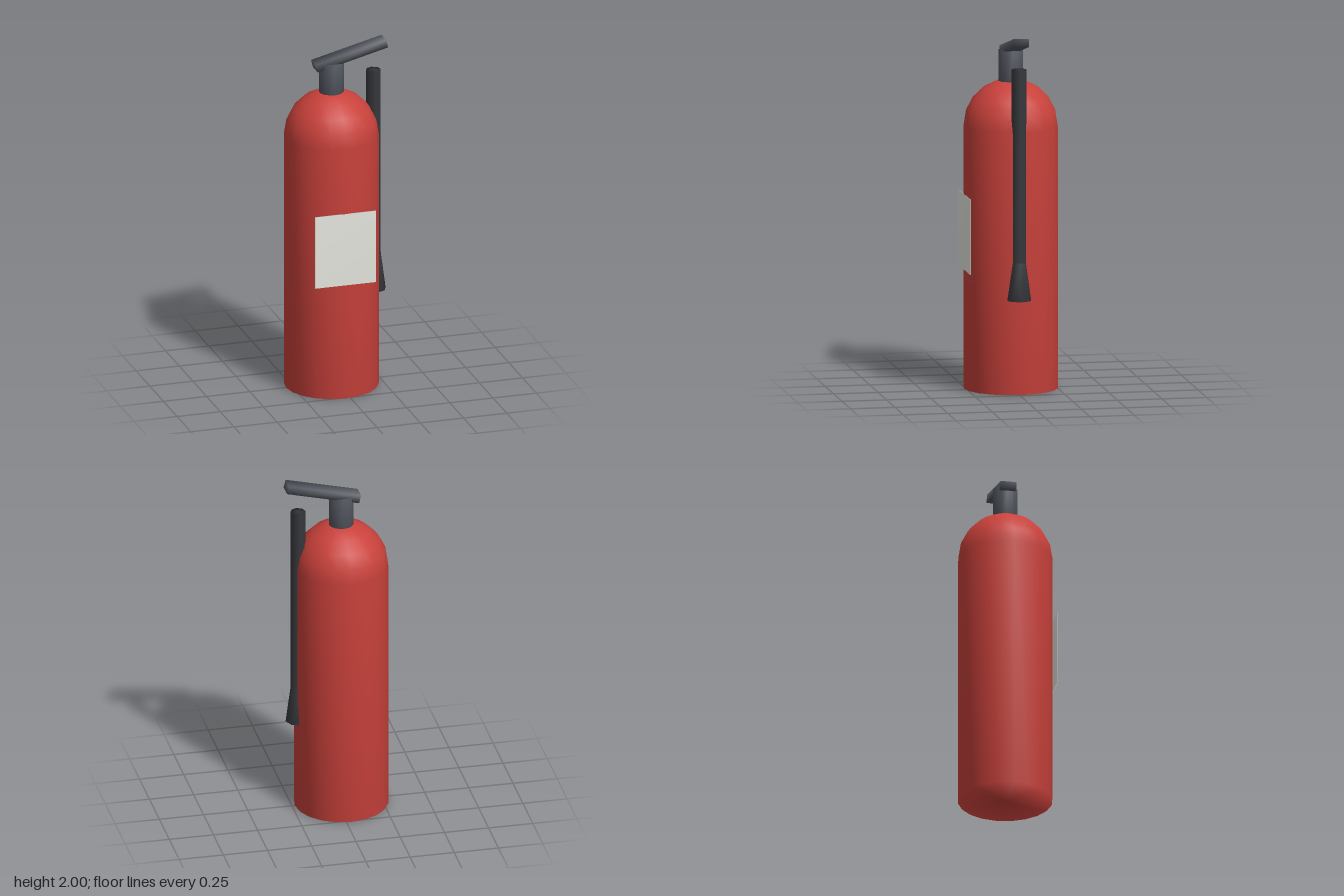
import * as THREE from 'three';
import { mergeVertices } from 'three/addons/utils/BufferGeometryUtils.js';

const mat = (name, color) => new THREE.MeshStandardMaterial({ name, color });

// Weld all corners so normals blend across every edge
function soften(geometry) {
  geometry.deleteAttribute('normal');
  geometry.deleteAttribute('uv');
  const welded = mergeVertices(geometry, 1e-4);
  welded.computeVertexNormals();
  return welded;
}

export function createModel() {
  const red = mat('red enamel', 0xc9413b);
  const grey = mat('grey metal', 0x50545c);
  const black = mat('black rubber', 0x36373b);
  const white = mat('label white', 0xe6e6e0);

  const group = new THREE.Group();
  group.name = 'fireExtinguisher';
  const add = (name, geometry, material, x, y, z = 0) => {
    const mesh = new THREE.Mesh(soften(geometry), material);
    mesh.name = name;
    mesh.position.set(x, y, z);
    group.add(mesh);
    return mesh;
  };

  const axis = -0.028, radius = 0.262, shoulder = 1.468;

  // Tank: flat base, straight wall, hemispherical dome
  const profile = [new THREE.Vector2(0, 0), new THREE.Vector2(radius, 0)];
  for (let i = 0; i <= 5; i++) {
    const a = (i / 5) * Math.PI / 2;
    profile.push(new THREE.Vector2(i === 5 ? 0 : radius * Math.cos(a), shoulder + radius * Math.sin(a)));
  }
  add('tank', new THREE.LatheGeometry(profile, 20), red, axis, 0);

  // Valve neck and tilted lever
  add('valveNeck', new THREE.CylinderGeometry(0.069, 0.069, 0.19, 16), grey, axis, 1.795);
  const lever = add('lever', new THREE.BoxGeometry(0.42, 0.046, 0.087), grey, 0.078, 1.928);
  lever.rotation.z = 0.245;

  // Hose and flared nozzle at the side
  add('hose', new THREE.CylinderGeometry(0.042, 0.042, 1.08, 8), black, 0.216, 1.28);
  add('nozzle', new THREE.CylinderGeometry(0.042, 0.07, 0.21, 8), black, 0.216, 0.633);

  // Label plate on the front
  add('label', new THREE.BoxGeometry(0.35, 0.42, 0.006), white, axis, 0.877, 0.259);

  return group;
}
